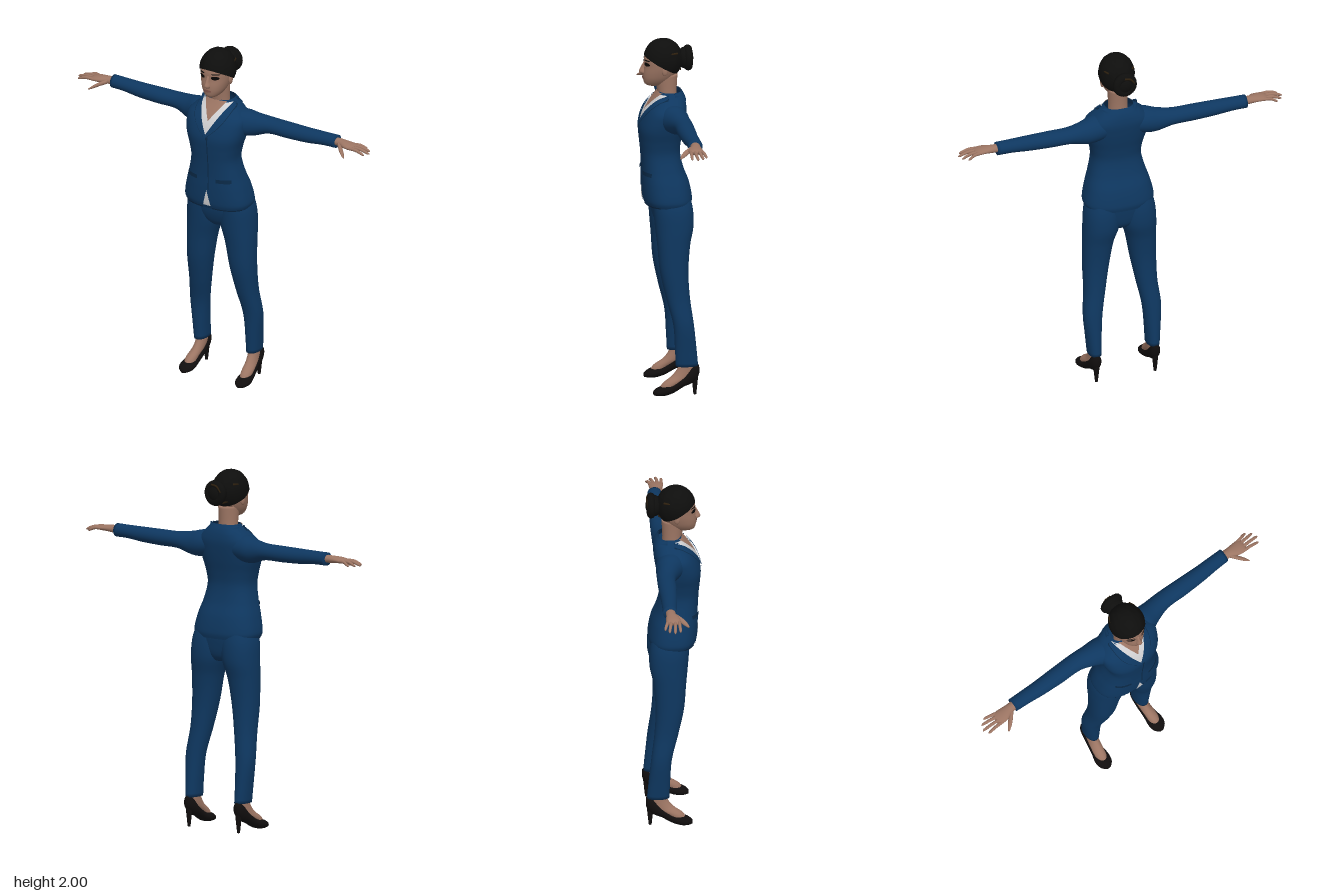
import * as THREE from 'three';

const mat = (name, hex, side = THREE.FrontSide) => {
  const m = new THREE.MeshStandardMaterial({ color: hex, side });
  m.name = name;
  return m;
};

// Smooth interpolation of section rows [t, a, ra, b, rb] at position t
function at(rows, t) {
  let i = 0;
  while (i < rows.length - 2 && t > rows[i + 1][0]) i++;
  const p = rows[i], q = rows[i + 1], h = q[0] - p[0];
  const s = Math.min(1, Math.max(0, (t - p[0]) / h));
  const slope = (j, k) => {
    const m = rows[Math.max(0, j - 1)], n = rows[Math.min(rows.length - 1, j + 1)];
    return (n[k] - m[k]) / (n[0] - m[0]);
  };
  return [1, 2, 3, 4].map(k => {
    const s2 = s * s, s3 = s2 * s;
    return (2 * s3 - 3 * s2 + 1) * p[k] + (s3 - 2 * s2 + s) * h * slope(i, k)
      + (3 * s2 - 2 * s3) * q[k] + (s3 - s2) * h * slope(i + 1, k);
  });
}

function build(pos, idx) {
  const g = new THREE.BufferGeometry();
  g.setAttribute('position', new THREE.Float32BufferAttribute(pos, 3));
  g.setIndex(idx);
  g.computeVertexNormals();
  return g;
}

// Loft of superelliptic sections along an axis, t increasing
function loft(rows, { axis = 'y', p = 2, steps = 32, seg = 40, cap = true } = {}) {
  const pos = [], idx = [], t0 = rows[0][0], t1 = rows[rows.length - 1][0];
  const put = (t, a, b) => pos.push(...(axis === 'y' ? [a, t, b] : axis === 'x' ? [t, a, b] : [a, b, t]));
  const pw = v => Math.sign(v) * Math.abs(v) ** (2 / p);
  for (let i = 0; i <= steps; i++) {
    const t = t0 + (t1 - t0) * i / steps, [a, ra, b, rb] = at(rows, t);
    for (let j = 0; j < seg; j++) {
      const th = j / seg * Math.PI * 2;
      const c = pw(Math.cos(th)), s = pw(Math.sin(th));
      if (axis === 'y') put(t, a + ra * c, b + rb * s);
      else put(t, a + ra * s, b + rb * c);
    }
  }
  for (let i = 0; i < steps; i++) for (let j = 0; j < seg; j++) {
    const k = (j + 1) % seg, A = i * seg + j, B = i * seg + k;
    idx.push(A, A + seg, B, B, A + seg, B + seg);
  }
  if (cap) for (const [t, base, flip] of [[t0, 0, false], [t1, steps * seg, true]]) {
    const [a, , b] = at(rows, t), c = pos.length / 3;
    put(t, a, b);
    for (let j = 0; j < seg; j++) {
      const A = base + j, B = base + (j + 1) % seg;
      idx.push(c, ...(flip ? [B, A] : [A, B]));
    }
  }
  return build(pos, idx);
}

// Thin panel lying on the front (side 1) or back (side -1) of a loft
function drape(rows, p, y0, y1, left, right, off, side = 1, nx = 14, ny = 18) {
  const pos = [], idx = [];
  for (let i = 0; i <= ny; i++) for (let j = 0; j <= nx; j++) {
    const y = y0 + (y1 - y0) * i / ny;
    const x = left(y) + (right(y) - left(y)) * j / nx, [cx, rx, cz, rz] = at(rows, y);
    const u = Math.min(0.995, Math.abs((x - cx) / rx));
    pos.push(x, y, cz + side * (rz * (1 - u ** p) ** (1 / p) + off));
  }
  for (let i = 0; i < ny; i++) for (let j = 0; j < nx; j++) {
    const a = i * (nx + 1) + j, b = a + 1, c = a + nx + 1, d = c + 1;
    idx.push(...(side > 0 ? [a, b, c, b, d, c] : [a, c, b, b, c, d]));
  }
  return build(pos, idx);
}

function mirror(g) {
  const m = g.clone().scale(-1, 1, 1), ix = m.index.array;
  for (let i = 0; i < ix.length; i += 3) [ix[i], ix[i + 1]] = [ix[i + 1], ix[i]];
  return m;
}

// Rows given as [y, half width, front z, back z]
const body = rows => rows.map(([y, rx, f, b, cx = 0]) => [y, cx, rx, (f + b) / 2, (f - b) / 2]);

export function createModel() {
  const model = new THREE.Group();
  model.name = 'woman';
  const D = THREE.DoubleSide;
  const suit = mat('navy suit', 0x0e3760, D), trim = mat('dark navy trim', 0x0a2947, D);
  const skin = mat('skin', 0x9c7563, D), lip = mat('lips', 0x84564c, D);
  const hair = mat('black hair', 0x0e0e0d, D), streak = mat('brown hair streak', 0x2e200e);
  const shirt = mat('white blouse', 0xd0d0d2, D), shoe = mat('black shoe', 0x110e0e, D);
  const eye = mat('dark eye', 0x0a0706, D);
  const add = (name, g, m) => {
    const mesh = new THREE.Mesh(g, m);
    mesh.name = name;
    model.add(mesh);
  };
  const pair = (name, g, m) => {
    add('left ' + name, g, m);
    add('right ' + name, mirror(g), m);
  };

  // Jacket body
  const T = body([[1.07, .19, .125, -.13], [1.1, .2, .135, -.135], [1.19, .182, .14, -.118], [1.27, .158, .14, -.088],
    [1.36, .14, .145, -.07], [1.43, .15, .152, -.076], [1.5, .17, .156, -.09], [1.56, .18, .14, -.1],
    [1.61, .178, .115, -.105], [1.65, .14, .085, -.1], [1.68, .105, .062, -.09], [1.705, .08, .045, -.075]]);
  const P = 2.5;
  add('jacket body', loft(T, { p: P, steps: 60, seg: 64, cap: false }), suit);

  // Neckline, lapels and collar
  const vee = (tip, top, w) => y => w * Math.max(0, (y - tip) / (top - tip));
  const open = vee(1.525, 1.69, .092), neckV = vee(1.6, 1.7, .066);
  add('blouse', drape(T, P, 1.525, 1.695, y => -open(y), open, .003), shirt);
  add('bare neckline', drape(T, P, 1.6, 1.703, y => -neckV(y), neckV, .006), skin);
  const lapel = y => open(y) + .045 * Math.sin(Math.PI * Math.min(1, (y - 1.51) / .2)) ** .7;
  pair('lapel', drape(T, P, 1.512, 1.7, open, lapel, .008), suit);
  pair('lapel edge', drape(T, P, 1.515, 1.69, y => lapel(y) - .002, y => lapel(y) + .004, .006), trim);
  add('back collar', drape(T, P, 1.655, 1.705, () => -.1, () => .1, .006, -1), suit);

  // Front closure, hem gap, pocket flaps
  add('front seam', drape(T, P, 1.19, 1.515, () => .01, () => .016, .003), trim);
  add('button', drape(T, P, 1.5, 1.516, () => .004, () => .02, .008), trim);
  const gap = vee(1.185, 1.07, .03);
  add('blouse hem', drape(T, P, 1.09, 1.185, y => -gap(y), gap, .003), shirt);
  pair('pocket flap', drape(T, P, 1.242, 1.264, () => .06, () => .14, .007), trim);
  pair('hem edge', drape(T, P, 1.07, 1.077, () => .03, () => .18, .003), trim);

  // Sleeves
  pair('sleeve', loft([[.08, 1.58, .07, -.01, .08], [.16, 1.575, .075, -.022, .078], [.21, 1.572, .067, -.035, .065],
    [.3, 1.58, .047, -.05, .052], [.42, 1.58, .045, -.05, .05], [.55, 1.582, .042, -.05, .045],
    [.65, 1.587, .037, -.053, .041], [.73, 1.588, .037, -.055, .039]], { axis: 'x', steps: 44 }), suit);

  // Hands
  pair('palm', loft([[.71, 1.59, .022, -.053, .026], [.76, 1.59, .021, -.05, .028], [.8, 1.59, .018, -.043, .038],
    [.84, 1.588, .014, -.042, .04], [.858, 1.586, .008, -.042, .034]], { axis: 'x', steps: 16, seg: 24 }), skin);
  [[-.071, -.09, .905], [-.053, -.068, .935], [-.032, -.038, .948], [-.012, -.008, .932]].forEach(([z0, z1, x1], i) => {
    const mid = (.83 + x1) / 2;
    pair('finger ' + (i + 1), loft([[.825, 1.588, .009, z0, .01], [mid, 1.588, .009, (z0 + z1) / 2, .009],
      [x1 - .008, 1.575, .007, z1, .007], [x1, 1.572, .003, z1, .003]], { axis: 'x', steps: 12, seg: 12 }), skin);
  });
  pair('thumb', loft([[.75, 1.588, .013, -.04, .018], [.785, 1.576, .012, -.002, .018], [.815, 1.561, .009, .026, .014],
    [.832, 1.551, .004, .042, .005]], { axis: 'x', steps: 12, seg: 14 }), skin);

  // Trousers
  pair('trouser leg', loft(body([[.165, .037, -.026, -.15, .17], [.25, .042, -.022, -.142, .172],
    [.4, .053, -.012, -.126, .172], [.55, .06, .025, -.107, .152], [.7, .073, .057, -.1, .138],
    [.85, .086, .07, -.112, .124], [.95, .1, .08, -.132, .108], [1.05, .1, .088, -.13, .1],
    [1.14, .085, .09, -.11, .09]]), { p: 2.2, steps: 50 }), suit);
  add('trouser hips', loft(body([[.94, .05, .05, -.09], [.97, .12, .07, -.11], [1.03, .18, .088, -.122],
    [1.1, .19, .092, -.125], [1.2, .165, .09, -.1]]), { p: 2.3, steps: 24 }), suit);

  // Feet and heeled shoes
  pair('foot', loft([[.03, .182, .03, .04, .03], [.07, .18, .031, .002, .048], [.11, .173, .029, -.058, .054],
    [.16, .17, .028, -.085, .046], [.22, .17, .028, -.088, .042]], { steps: 20, seg: 24 }), skin);
  pair('shoe', loft([[-.155, .172, .014, .14, .026], [-.145, .172, .025, .133, .04], [-.115, .173, .032, .115, .05],
    [-.07, .175, .034, .082, .035], [-.01, .18, .037, .045, .03], [.04, .183, .045, .031, .029],
    [.08, .183, .036, .023, .021], [.1, .182, .014, .017, .011]], { axis: 'z', steps: 30, seg: 28 }), shoe);
  pair('stiletto heel', new THREE.CylinderGeometry(.02, .008, .115, 14).translate(.172, .0575, -.132), shoe);

  // Neck and head
  add('neck', loft(body([[1.6, .06, .05, -.06], [1.7, .054, .053, -.055], [1.8, .056, .07, -.06]]), { steps: 16 }), skin);
  const H = body([[1.735, .018, .1, .03], [1.745, .036, .121, .005], [1.775, .059, .131, -.025], [1.81, .073, .132, -.05],
    [1.85, .082, .126, -.06], [1.895, .085, .124, -.065], [1.93, .075, .108, -.06], [1.97, .045, .07, -.03]]);
  add('head', loft(H, { p: 2.2, steps: 36, seg: 48 }), skin);
  add('nose', loft([[1.802, 0, .013, .124, .012], [1.815, 0, .018, .13, .025], [1.84, 0, .011, .126, .02],
    [1.872, 0, .008, .12, .009]], { steps: 14, seg: 16 }), skin);
  pair('ear', new THREE.SphereGeometry(1, 14, 12).scale(.01, .028, .017).translate(.083, 1.835, .022), skin);

  // Eyes, brows and mouth
  const oval = (cx, cy, w, h, off) => {
    const r = y => w * Math.sqrt(Math.max(0, 1 - ((y - cy) / h) ** 2));
    return drape(H, 2.2, cy - h, cy + h, y => cx - r(y), y => cx + r(y), off);
  };
  pair('eye', oval(.041, 1.866, .021, .011, .003), eye);
  pair('brow', oval(.043, 1.888, .022, .004, .003), hair);
  add('lips', oval(0, 1.786, .025, .008, .004), lip);

  // Hair cap, tilted back to leave the face clear, with soft strand ripples
  const cap = new THREE.SphereGeometry(1, 56, 36, 0, Math.PI * 2, 0, 1.87).rotateX(-.51);
  const cp = cap.attributes.position;
  for (let i = 0; i < cp.count; i++) {
    const x = cp.getX(i), y = cp.getY(i), z = cp.getZ(i);
    const k = 1 + .012 * Math.sin(x * 16) * Math.sin(y * 5 + z * 7) * Math.min(1, 4 * Math.abs(x));
    cp.setXYZ(i, x * k * .1, 1.885 + y * k * .115, .02 + z * k * .108);
  }
  cap.computeVertexNormals();
  add('hair', cap, hair);
  // Bun at the back of the head
  add('hair bun', new THREE.SphereGeometry(1, 28, 20).scale(.058, .06, .046).translate(0, 1.885, -.102), hair);
  add('bun coil', new THREE.TorusGeometry(.043, .023, 12, 32).scale(1.05, 1.1, 1).translate(0, 1.885, -.118), hair);
  // Lighter strands
  const strand = pts => new THREE.TubeGeometry(new THREE.CatmullRomCurve3(pts.map(p => new THREE.Vector3(...p))), 14, .006, 6);
  pair('hair streak', strand([[.083, 1.925, .0], [.079, 1.93, -.025], [.068, 1.93, -.05]]), streak);
  add('bun streak', strand([[-.05, 1.895, -.135], [-.025, 1.927, -.139], [.01, 1.935, -.139]]), streak);
  add('nape streak', strand([[-.045, 1.835, -.06], [0, 1.822, -.074], [.045, 1.83, -.062]]), streak);
  return model;
}
